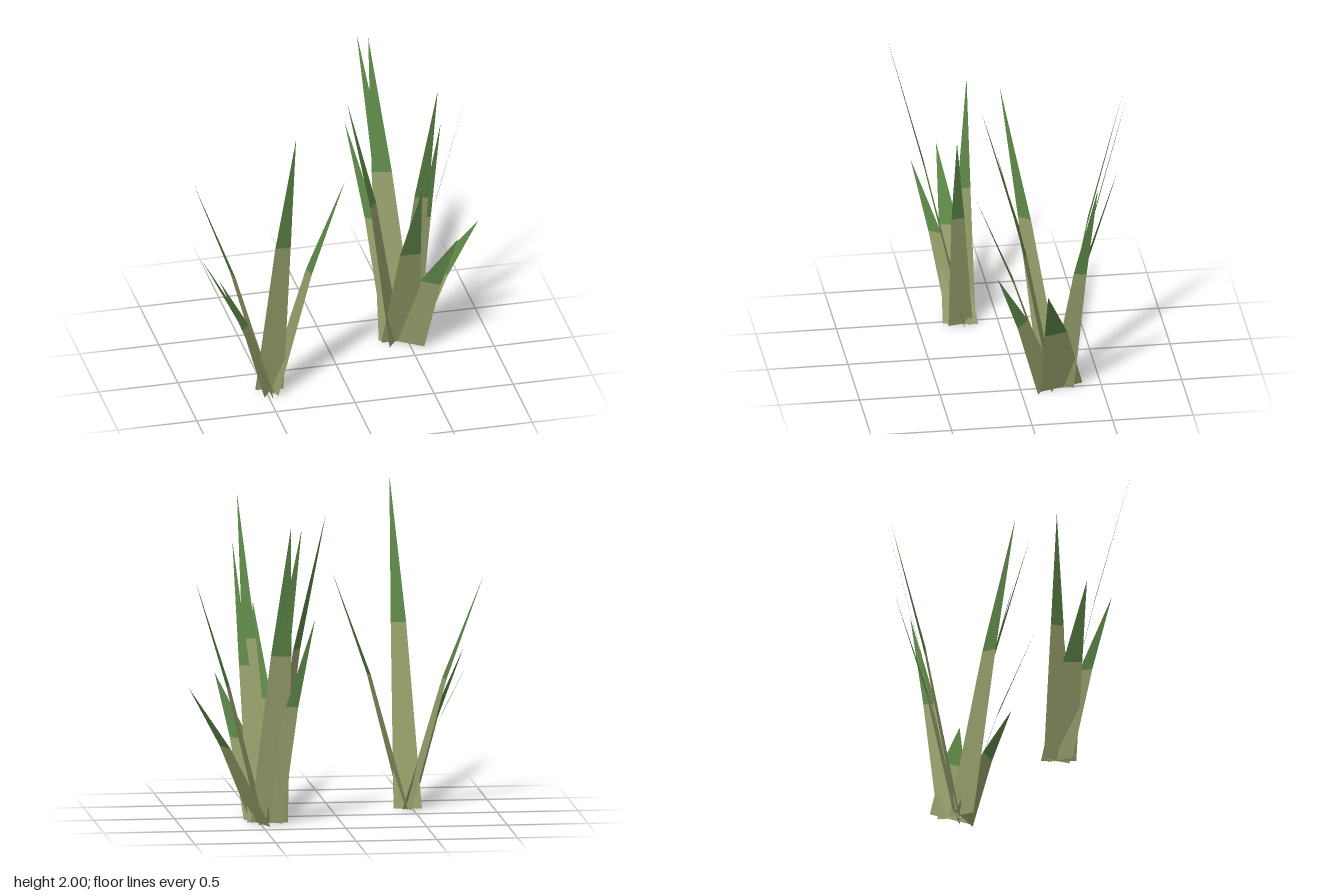
import * as THREE from 'three';

const stem = new THREE.MeshStandardMaterial({ color: 0x959d6a, side: THREE.DoubleSide });
stem.name = 'dry olive';
const leaf = new THREE.MeshStandardMaterial({ color: 0x5c8547, side: THREE.DoubleSide });
leaf.name = 'leaf green';

// Each blade: base x,z | middle x,y,z | tip x,y,z | width at the middle
const tufts = {
  leftTuft: [
    [0.46, -0.22, 0.39, 1.07, -0.46, 0.30, 1.90, -0.70, 0.09],
    [0.44, -0.215, 0.393, 1.07, -0.43, 0.36, 1.90, -0.65, 0.125],
    [0.42, -0.20, 0.25, 1.05, -0.06, 0.055, 1.86, 0.065, 0.09],
    [0.48, -0.20, 0.535, 1.11, 0.015, 0.58, 1.98, 0.26, 0.085],
    [0.51, -0.20, 0.57, 0.95, -0.02, 0.62, 1.70, 0.17, 0.065],
    [0.455, -0.20, 0.46, 0.73, 0.04, 0.48, 1.30, 0.27, 0.13],
    [0.49, -0.26, 0.71, 0.87, -0.34, 0.925, 1.55, -0.42, 0.08],
    [0.50, -0.255, 0.71, 0.47, -0.19, 0.925, 0.83, -0.11, 0.155],
    [0.48, -0.17, 0.597, 0.495, 0.0, 0.73, 0.88, 0.175, 0.136],
    [0.43, -0.23, 0.325, 0.75, -0.43, 0.21, 1.33, -0.65, 0.08],
  ],
  rightTuft: [
    [-0.472, 0.21, -0.447, 1.12, 0.465, -0.42, 2.0, 0.695, 0.095],
    [-0.455, 0.235, -0.24, 0.83, 0.283, -0.02, 1.46, 0.32, 0.085],
    [-0.47, 0.215, -0.695, 0.81, 0.18, -0.93, 1.45, 0.13, 0.085],
    [-0.46, 0.235, -0.69, 0.57, 0.277, -0.925, 1.02, 0.32, 0.118],
    [-0.48, 0.24, -0.66, 0.54, 0.365, -0.855, 0.955, 0.49, 0.09],
  ],
};

// Flat tapered blade with one slight bend and a twist that follows its lean
function blade([bx, bz, mx, my, mz, tx, ty, tz, width]) {
  const side = new THREE.Vector3(tz - bz, 0, tx - bx).normalize();
  const base = new THREE.Vector3(bx, 0, bz);
  const mid = new THREE.Vector3(mx, my, mz);
  const tip = new THREE.Vector3(tx, ty, tz);
  const at = (p, d) => p.clone().addScaledVector(side, d * width);
  const b0 = at(base, -0.92), b1 = at(base, 0.92);
  const m0 = at(mid, -0.5), m1 = at(mid, 0.5);
  // Lower strip, then pointed tip
  const geometry = new THREE.BufferGeometry().setFromPoints([
    b0, b1, m1, b0, m1, m0, m0, m1, tip,
  ]);
  geometry.computeVertexNormals();
  geometry.addGroup(0, 6, 0);
  geometry.addGroup(6, 3, 1);
  return new THREE.Mesh(geometry, [stem, leaf]);
}

export function createModel() {
  const model = new THREE.Group();
  model.name = 'grassTufts';
  for (const [name, blades] of Object.entries(tufts)) {
    const tuft = new THREE.Group();
    tuft.name = name;
    blades.forEach((data, i) => {
      const mesh = blade(data);
      mesh.name = `grassBlade${i + 1}`;
      tuft.add(mesh);
    });
    model.add(tuft);
  }
  return model;
}
